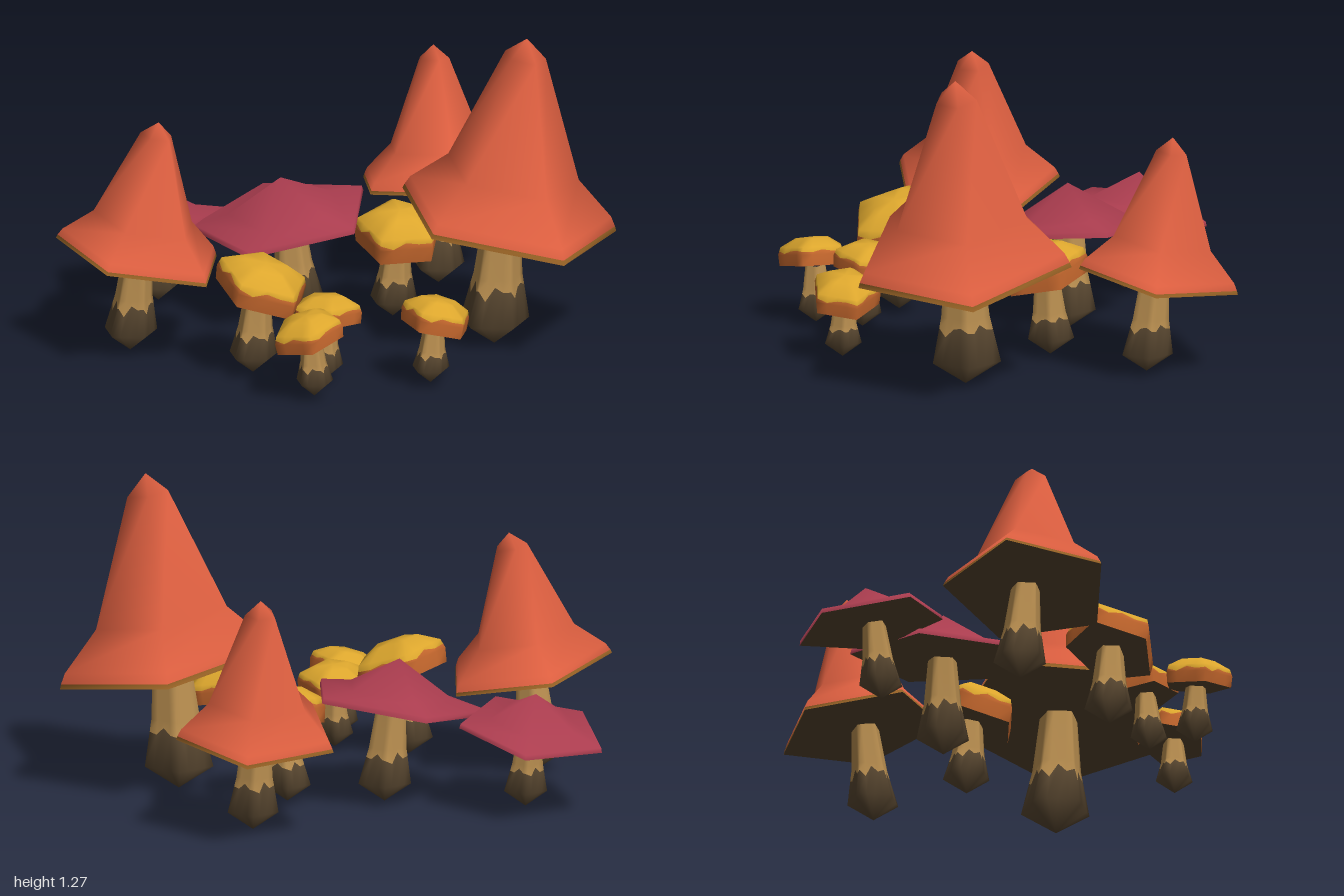
import * as THREE from 'three';
import { mergeVertices } from 'three/addons/utils/BufferGeometryUtils.js';

const paint = (name, color) => {
  const m = new THREE.MeshStandardMaterial({ color });
  m.name = name;
  return m;
};
const V = (x, y, z) => new THREE.Vector3(x, y, z);

// Surface through closed rings, listed from low to high
function loft(name, rings, material) {
  const n = rings[0].length, pos = [], index = [];
  rings.forEach(r => r.forEach(p => pos.push(p.x, p.y, p.z)));
  for (let k = 0; k + 1 < rings.length; k++) {
    const [lo, hi] = [rings[k], rings[k + 1]];
    for (let i = 0; i < n; i++) {
      const j = (i + 1) % n, a = k * n + i, b = k * n + j;
      if (lo[i].distanceTo(lo[j]) > 1e-5) index.push(a, a + n, b);
      if (hi[i].distanceTo(hi[j]) > 1e-5) index.push(b, a + n, b + n);
    }
  }
  let g = new THREE.BufferGeometry();
  g.setAttribute('position', new THREE.Float32BufferAttribute(pos, 3));
  g.setIndex(index);
  g = mergeVertices(g, 1e-5);
  g.computeVertexNormals();
  const mesh = new THREE.Mesh(g, material);
  mesh.name = name;
  return mesh;
}

// Corners of a regular pentagon around the origin
const pentagon = (radius, degrees) => Array.from({ length: 5 }, (_, i) => {
  const a = THREE.MathUtils.degToRad(degrees + i * 72);
  return V(radius * Math.cos(a), 0, radius * Math.sin(a));
});

// Adds points along every side of a polygon
const subdivide = (poly, parts) => poly.flatMap((p, i) => Array.from({ length: parts },
  (_, k) => p.clone().lerp(poly[(i + 1) % poly.length], k / parts)));

// Unevenness of painted borders, from -1 to 1
const jag = i => Math.sin(i * 2.4) * Math.cos(i * 0.9);

// Cap profile: [share of rim radius, share of cap height]; bulb: bulb radius per rim radius
const KINDS = {
  tall: { bulb: 0.32, profile: [[1, 0], [0.985, 0.025], [0.94, 0.075], [0.61, 0.26], [0.19, 0.9], [0, 1]] },
  flat: { bulb: 0.3, profile: [[1, 0], [0.985, 0.12], [0.6, 0.27], [0, 1]] },
  button: { bulb: 0.54, profile: [[0.97, 0], [1, 0.4], [0.93, 0.66], [0.5, 0.96], [0, 1]] },
};

// cap: centre x, y, z, radius, turn in degrees; tilt: rim slope along x and z; foot: x, z
const MUSHROOMS = [
  { name: 'largeTallMushroom', kind: 'tall', cap: [0.554, 0.518, 0.484, 0.441, 18.5], tilt: [-0.137, -0.12], height: 0.762, foot: [0.52, 0.45] },
  { name: 'leftTallMushroom', kind: 'tall', cap: [0.702, 0.41, -0.3, 0.327, 27], tilt: [-0.07, 0.14], height: 0.56, foot: [0.69, -0.25] },
  { name: 'rightTallMushroom', kind: 'tall', cap: [-0.726, 0.415, -0.152, 0.338, 1], tilt: [-0.17, -0.1], height: 0.555, foot: [-0.75, -0.2] },
  { name: 'middleFlatMushroom', kind: 'flat', cap: [-0.02, 0.41, -0.24, 0.361, 0], tilt: [0.16, 0.02], height: 0.18, foot: [0.02, -0.22] },
  { name: 'backFlatMushroom', kind: 'flat', cap: [-0.36, 0.335, -0.678, 0.295, 25], tilt: [0.02, 0.2], height: 0.155, foot: [-0.36, -0.63] },
  { name: 'middleButtonMushroom', kind: 'button', cap: [0.34, 0.325, 0.03, 0.177, 2], tilt: [0.08, -0.2], height: 0.15, foot: [0.33, 0] },
  { name: 'sideButtonMushroom', kind: 'button', cap: [-0.458, 0.34, 0.298, 0.184, 8], tilt: [-0.18, -0.28], height: 0.14, foot: [-0.48, 0.28] },
  { name: 'innerButtonMushroom', kind: 'button', cap: [-0.28, 0.26, 0.504, 0.14, 40], tilt: [-0.08, 0.1], height: 0.11, foot: [-0.3, 0.52] },
  { name: 'outerButtonMushroom', kind: 'button', cap: [-0.452, 0.255, 0.658, 0.14, 43], tilt: [0.25, 0.06], height: 0.11, foot: [-0.43, 0.66] },
  { name: 'frontButtonMushroom', kind: 'button', cap: [0.062, 0.25, 0.762, 0.141, 4], tilt: [-0.22, -0.06], height: 0.12, foot: [0.04, 0.76] },
];

export function createModel() {
  const orange = paint('orange cap', 0xdd5f40);
  const crimson = paint('crimson cap', 0xab3d4f);
  const yellow = paint('yellow cap', 0xdca62d);
  const rust = paint('rust cap side', 0xc8692e);
  const ochre = paint('ochre rim', 0x9a6426);
  const tan = paint('tan stem', 0xba8f50);
  const brown = paint('dark brown', 0x5a4831);

  const model = new THREE.Group();
  model.name = 'mushroomCluster';

  MUSHROOMS.forEach(({ name, kind, cap, tilt, height, foot }) => {
    const group = new THREE.Group();
    group.name = name;
    const [cx, cy, cz, radius, turn] = cap;
    const spokes = pentagon(radius, turn);
    spokes.forEach(p => { p.y = tilt[0] * p.x + tilt[1] * p.z; });

    // Cap, with its tip leaning away from the raised side of the rim
    const capRing = ([s, h]) => {
      const centre = V(cx - 0.6 * tilt[0] * height * h, cy + height * h, cz - 0.6 * tilt[1] * height * h);
      return spokes.map(p => p.clone().multiplyScalar(s).add(centre));
    };
    const rings = KINDS[kind].profile.map(capRing);
    group.add(loft('capUnderside', [capRing([0, 0]), rings[0]], brown));
    if (kind === 'tall') {
      group.add(loft('capRim', rings.slice(0, 2), ochre), loft('cap', rings.slice(1), orange));
    } else if (kind === 'flat') {
      group.add(loft('cap', rings, crimson));
    } else {
      const [base, side, shoulder, ...upper] = rings.map(r => subdivide(r, 4));
      const border = side.map((p, i) => p.clone().lerp(shoulder[i], 0.4 + 0.38 * jag(i)));
      group.add(loft('capSide', [base, side, border], rust));
      group.add(loft('capTop', [border, shoulder, ...upper], yellow));
    }

    // Stem with a pointed bulb and an uneven earthy border
    const bulbR = radius * KINDS[kind].bulb, topR = bulbR * 0.55;
    const bulbY = bulbR * 0.3 + 0.065, topY = cy + 0.005;
    const stemRing = (r, y) => {
      const t = 0.6 * Math.max(0, (y - bulbY) / (topY - bulbY));
      const centre = V(THREE.MathUtils.lerp(foot[0], cx, t), y, THREE.MathUtils.lerp(foot[1], cz, t));
      return subdivide(pentagon(r, 18).map(p => p.add(centre)), 4);
    };
    const neckY = THREE.MathUtils.lerp(bulbY, topY, 0.45);
    const neckR = THREE.MathUtils.lerp(topR, bulbR, 0.36);
    const bulb = stemRing(bulbR, bulbY), neck = stemRing(neckR, neckY);
    const edge = bulb.map((p, i) => p.clone().lerp(neck[i], 0.74 + 0.2 * jag(i)));
    group.add(loft('stemBulb', [stemRing(0, 0.05 - 0.28 * bulbR), bulb, edge], brown));
    group.add(loft('stem', [edge, neck, stemRing(topR, topY)], tan));
    model.add(group);
  });
  return model;
}
